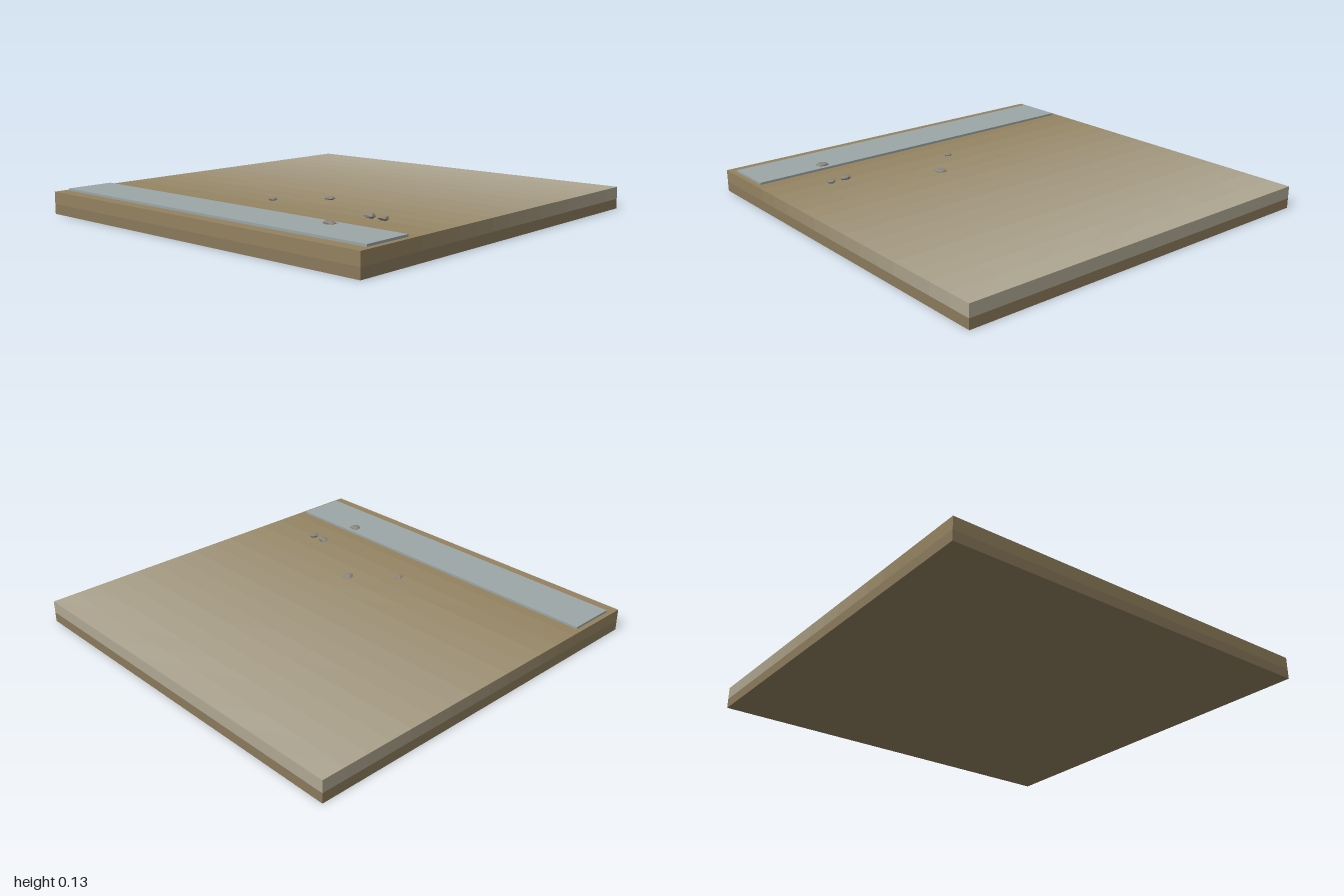
import * as THREE from 'three';

const TOP = 0.112, BAND = 0.05;
const ROWS = 16, COLS = 8;

const hash = (a, b) => {
  const s = Math.sin(a * 127.1 + b * 311.7) * 43758.5453;
  return s - Math.floor(s);
};

const material = (color, side = THREE.FrontSide) =>
  new THREE.MeshStandardMaterial({ color, flatShading: true, side });

function add(parent, name, geometry, mat, x = 0, y = 0, z = 0) {
  const mesh = new THREE.Mesh(geometry, mat);
  mesh.name = name;
  mesh.position.set(x, y, z);
  parent.add(mesh);
  return mesh;
}

// Ground height: barely uneven inside, level along the rim
function groundHeight(x, z) {
  const rim = Math.abs(x) > 0.99 || Math.abs(z) > 0.99;
  return rim ? TOP : TOP - 0.0015 * hash(Math.round(x * 8), Math.round(z * 8));
}

// One strip of soil running across x, folded down at both sides
function soilStrip(z0, z1) {
  const g = new THREE.PlaneGeometry(2, 1, COLS + 2, 1);
  const p = g.attributes.position;
  for (let i = 0; i < p.count; i++) {
    const col = i % (COLS + 3);
    const z = i < COLS + 3 ? z0 : z1;
    const x = THREE.MathUtils.clamp(-1 + ((col - 1) * 2) / COLS, -1, 1);
    const folded = col === 0 || col === COLS + 2;
    p.setXYZ(i, x, folded ? BAND : groundHeight(x, z), z);
  }
  g.computeVertexNormals();
  return g;
}

// Flattened, irregular pebble
function pebbleGeometry(seed, w, h, d) {
  const g = new THREE.IcosahedronGeometry(1, 0);
  const p = g.attributes.position;
  for (let i = 0; i < p.count; i++) {
    const x = p.getX(i), y = p.getY(i), z = p.getZ(i);
    const key = Math.round(x * 50) + Math.round(y * 50) * 3.7;
    const r = 0.8 + 0.4 * hash(key + seed, Math.round(z * 50));
    p.setXYZ(i, (x * r * w) / 2, (y * r * h) / 2, (z * r * d) / 2);
  }
  g.computeVertexNormals();
  return g;
}

export function createModel() {
  const model = new THREE.Group();
  model.name = 'groundTile';

  // Lower earth layer
  add(model, 'earthBase', new THREE.BoxGeometry(2, BAND, 2), material(0x8a795b), 0, BAND / 2, 0);

  // Upper soil, fading from pale at the back to brown at the front
  const soil = new THREE.Group();
  soil.name = 'soil';
  model.add(soil);
  const pale = new THREE.Color(0xafa793), brown = new THREE.Color(0x93825f);
  const tone = (t) => pale.clone().lerp(brown, Math.min(1, t * 1.2));
  for (let i = 0; i < ROWS; i++) {
    const z0 = -1 + (2 * i) / ROWS;
    add(soil, 'soilStrip', soilStrip(z0, z0 + 2 / ROWS), material(tone((i + 0.5) / ROWS)));
  }
  for (const s of [1, -1]) {
    const end = add(soil, s > 0 ? 'soilFront' : 'soilBack', new THREE.PlaneGeometry(2, TOP - BAND),
      material(s > 0 ? brown : pale), 0, (TOP + BAND) / 2, s);
    end.rotation.y = s > 0 ? 0 : Math.PI;
  }

  // Shallow strip of water near the front
  add(model, 'water', new THREE.BoxGeometry(1.95, 0.012, 0.25), material(0x9ba6a7), 0, 0.117, 0.81);

  // Scattered pebbles: x, y, z, width, height, depth
  const pebbles = [
    [0.18, 0.121, 0.27, 0.06, 0.02, 0.07],
    [-0.01, 0.12, 0.46, 0.042, 0.016, 0.05],
    [0.61, 0.122, 0.49, 0.065, 0.027, 0.055],
    [0.69, 0.121, 0.49, 0.048, 0.022, 0.06],
    [0.595, 0.125, 0.73, 0.066, 0.022, 0.062],
  ];
  const stone = material(0x8b857c);
  pebbles.forEach(([x, y, z, w, h, d], i) =>
    add(model, 'pebble', pebbleGeometry(i * 13 + 1, w, h, d), stone, x, y, z));

  return model;
}
